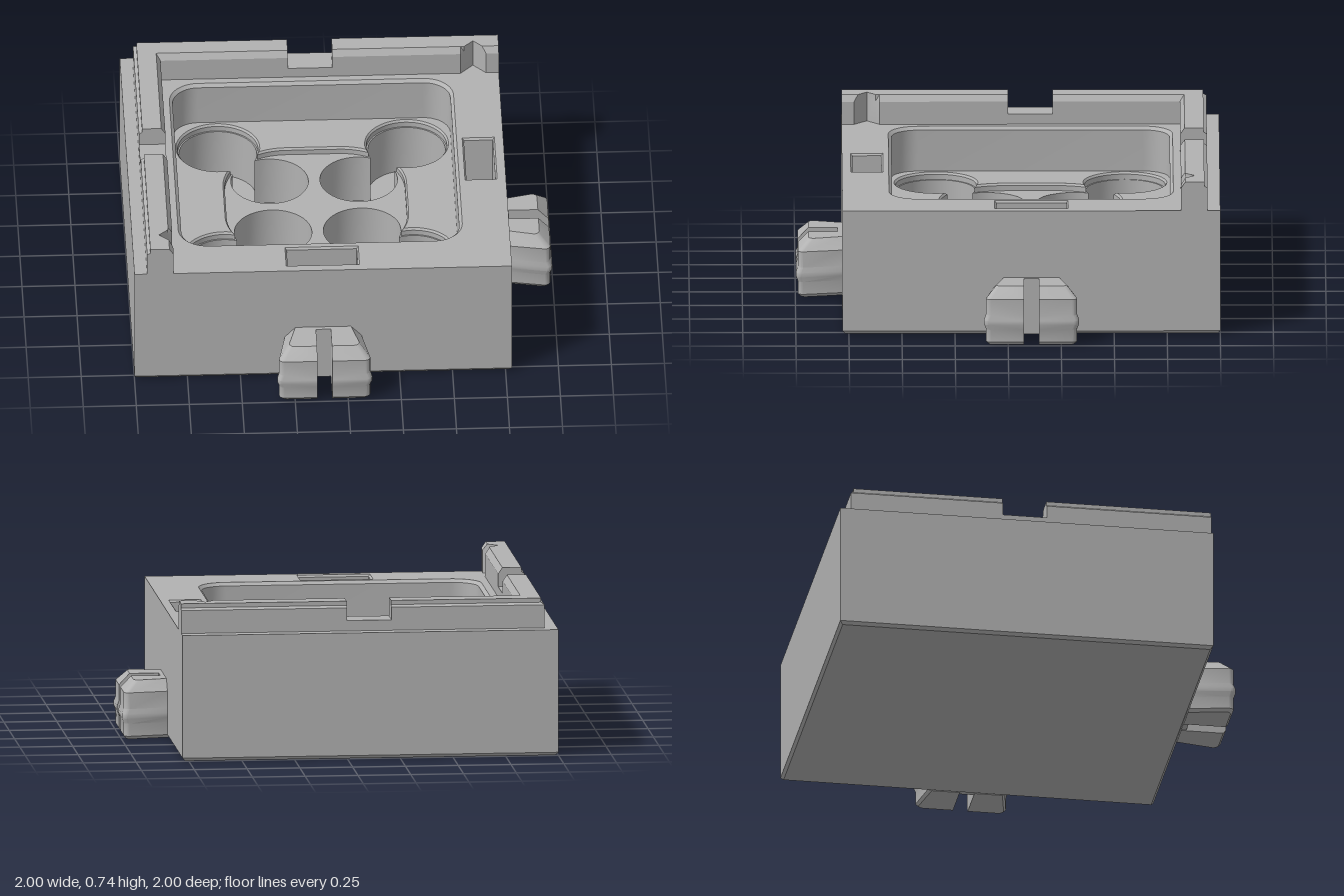
import * as THREE from 'three';
import { toCreasedNormals, mergeGeometries } from 'three/addons/utils/BufferGeometryUtils.js';

const D = Math.PI / 180;
const V2 = (x, v) => new THREE.Vector2(x, v);

// Plan outlines use (x, v) with v = -z, counter-clockwise, around the block's centre.
function arc(cx, cv, r, from, to, n) {
  const pts = [];
  for (let i = 0; i <= n; i++) {
    const a = (from + (to - from) * i / n) * D;
    pts.push(V2(cx + r * Math.cos(a), cv + r * Math.sin(a)));
  }
  return pts;
}
const rect = (cx, cv, hx, hv) =>
  [V2(cx - hx, cv - hv), V2(cx + hx, cv - hv), V2(cx + hx, cv + hv), V2(cx - hx, cv + hv)];
const dedupe = pts => pts.filter((p, i) => p.distanceTo(pts[(i + 1) % pts.length]) > 1e-5);
const turn = (pts, k) => pts.map(p => p.clone().rotateAround(V2(0, 0), k * 90 * D));
const fourfold = pts => dedupe([0, 1, 2, 3].flatMap(k => turn(pts, k)));
const roundedSquare = (h, r) => fourfold(arc(h - r, h - r, r, 0, 90, 10));

// Shallow recess: rounded square joined with the four outer circles
const INNER = 0.21, OUTER = 0.445;
function recess(off) {
  const c = 0.125, R = 0.3 + off, r = 0.19 + off, d = (OUTER - c) * Math.SQRT2;
  const a = Math.acos((d * d + R * R - r * r) / (2 * d * R)) / D;
  const b = Math.acos((d * d + r * r - R * R) / (2 * d * r)) / D;
  return fourfold([
    ...arc(c, c, R, 0, 45 - a, 6),
    ...arc(OUTER, OUTER, r, 225 + b, 585 - b, 40),
    ...arc(c, c, R, 45 + a, 90, 6),
  ]);
}
// Two overlapping round holes
function doubleHole(k) {
  const r = 0.183;
  const g = Math.acos((OUTER - INNER) * Math.SQRT2 / 2 / r) / D;
  return turn(dedupe([
    ...arc(OUTER, OUTER, r, 225 + g, 585 - g, 36),
    ...arc(INNER, INNER, r, 45 + g, 405 - g, 36),
  ]), k);
}

// Skin between successive loops of 3D points, with optional end caps
function loft(loops, capStart = false, capEnd = false) {
  const out = [];
  const tri = (a, b, c) => out.push(...a.toArray(), ...b.toArray(), ...c.toArray());
  const n = loops[0].length;
  for (let j = 0; j + 1 < loops.length; j++) {
    const A = loops[j], B = loops[j + 1];
    for (let i = 0; i < n; i++) {
      const k = (i + 1) % n;
      tri(A[i], A[k], B[k]);
      tri(A[i], B[k], B[i]);
    }
  }
  const last = loops[loops.length - 1];
  for (let i = 1; i + 1 < n; i++) {
    if (capStart) tri(loops[0][0], loops[0][i + 1], loops[0][i]);
    if (capEnd) tri(last[0], last[i], last[i + 1]);
  }
  const g = new THREE.BufferGeometry();
  g.setAttribute('position', new THREE.Float32BufferAttribute(out, 3));
  return g;
}
const at = (pts, y) => pts.map(p => new THREE.Vector3(p.x, y, -p.y));

// Flat upward face at a height
function plate(outline, holes, y) {
  const s = new THREE.Shape(outline);
  s.holes = holes.map(h => new THREE.Path(h));
  return bare(new THREE.ShapeGeometry(s).rotateX(-Math.PI / 2).translate(0, y, 0));
}
function bare(g) {
  const out = g.index ? g.toNonIndexed() : g;
  out.deleteAttribute('uv');
  out.deleteAttribute('normal');
  return out;
}
const box = (x0, x1, y0, y1, z0, z1) => bare(new THREE.BoxGeometry(x1 - x0, y1 - y0, z1 - z0)
  .translate((x0 + x1) / 2, (y0 + y1) / 2, (z0 + z1) / 2));

// Reflected copy with its winding corrected; map sends (x, z) to the new (x, z)
function reflect(g, map) {
  const p = g.attributes.position, out = [];
  for (let i = 0; i < p.count; i += 3)
    for (const j of [i, i + 2, i + 1]) {
      const [x, z] = map(p.getX(j), p.getZ(j));
      out.push(x, p.getY(j), z);
    }
  const r = new THREE.BufferGeometry();
  r.setAttribute('position', new THREE.Float32BufferAttribute(out, 3));
  return r;
}
const swapXZ = (x, z) => [z, x];

// Raised rim along the back edge, mitred at the corner
const rimSection = (inner = -0.705) => [
  [inner, 0.6], [-0.83, 0.6], [-0.83, 0.71], [-0.815, 0.72], [-0.815, 0.74],
  [Math.min(inner, -0.725), 0.74], [inner, 0.71],
];
function rimGeometry() {
  const slice = (x, inner) => rimSection(inner).map(([z, y]) => new THREE.Vector3(x, y, z));
  const mitre = rimSection().map(([z, y]) => new THREE.Vector3(z, y, z));
  // V-shaped notch near the free end
  const notch = [[0.71, -0.705], [0.728, -0.725], [0.77, -0.77], [0.812, -0.725], [0.83, -0.705]];
  return mergeGeometries([
    loft([mitre, slice(-0.105)], false, true),
    box(-0.105, 0.105, 0.6, 0.65, -0.83, -0.705),
    loft([slice(0.105), ...notch.map(([x, z]) => slice(x, z)), slice(0.89)], true, true),
  ]);
}

// Split, flared snap clip on the front face
function clipGeometry() {
  const levels = [[0, 0.022], [0.015, 0.01], [0.075, 0.01], [0.1, 0.001], [0.12, 0.001],
    [0.145, 0.01], [0.222, 0.01], [0.275, 0.06]];
  const loops = levels.map(([y, e]) => {
    const w = 0.225 - e, end = 1.108 - e, r = 0.025;
    const pts = [V2(0.035, -0.885), V2(0.035, -end),
      ...arc(w - r, -end + r, r, -90, 0, 4), V2(0.19 - e, -0.885)];
    return at(pts, y);
  });
  const half = loft(loops, true, true);
  return mergeGeometries([half, reflect(half, (x, z) => [-x, z]),
    box(-0.036, 0.036, 0.004, 0.275, 0.885, 0.91)]);
}

export function createModel() {
  const gray = new THREE.MeshStandardMaterial({ color: 0xb2b2b2 });
  gray.name = 'gray plastic';
  const model = new THREE.Group();
  model.name = 'connectorBlock';
  const add = (name, ...geos) => {
    const mesh = new THREE.Mesh(toCreasedNormals(mergeGeometries(geos), 0.5), gray);
    mesh.name = name;
    mesh.position.set(-0.11, 0, -0.11);
    model.add(mesh);
  };

  const TOP = 0.6, FLOOR = 0.385, RECESS = 0.35, HOLE = 0.1, SLOT = 0.35;
  const square = h => rect(0, 0, h, h);
  const slots = e => [rect(0.7725, 0, 0.068 + e, 0.165 + e), rect(0, -0.7725, 0.165 + e, 0.068 + e)];
  const holes = [0, 1, 2, 3].map(doubleHole);
  const mouth = roundedSquare(0.67, 0.14), pocket = roundedSquare(0.655, 0.125);

  // Outer shell and top face
  add('body',
    loft([at(square(0.877), 0), at(square(0.89), 0.015), at(square(0.89), TOP)], true),
    plate(square(0.89), [mouth, ...slots(0.008)], TOP));

  // Large pocket with a chamfered lip
  add('pocket',
    loft([at(mouth, TOP), at(pocket, TOP - 0.015), at(pocket, FLOOR)]),
    plate(pocket, [recess(0.008)], FLOOR));

  // Recess inside the pocket
  add('recess',
    loft([at(recess(0.008), FLOOR), at(recess(0), FLOOR - 0.01), at(recess(0), RECESS)]),
    plate(recess(0), holes, RECESS));

  // Four pairs of round holes
  holes.forEach(h => add('doubleHole', loft([at(h, RECESS), at(h, HOLE)]), plate(h, [], HOLE)));

  // Rectangular slots
  const inner = slots(0);
  slots(0.008).forEach((s, i) => add('slot',
    loft([at(s, TOP), at(inner[i], TOP - 0.01), at(inner[i], SLOT)]),
    plate(inner[i], [], SLOT)));

  // Rims and clips, mirrored across the diagonal
  const rim = rimGeometry(), clip = clipGeometry();
  add('backRim', rim);
  add('rightRim', reflect(rim, swapXZ));
  add('frontClip', clip);
  add('leftClip', reflect(clip, swapXZ));
  return model;
}
